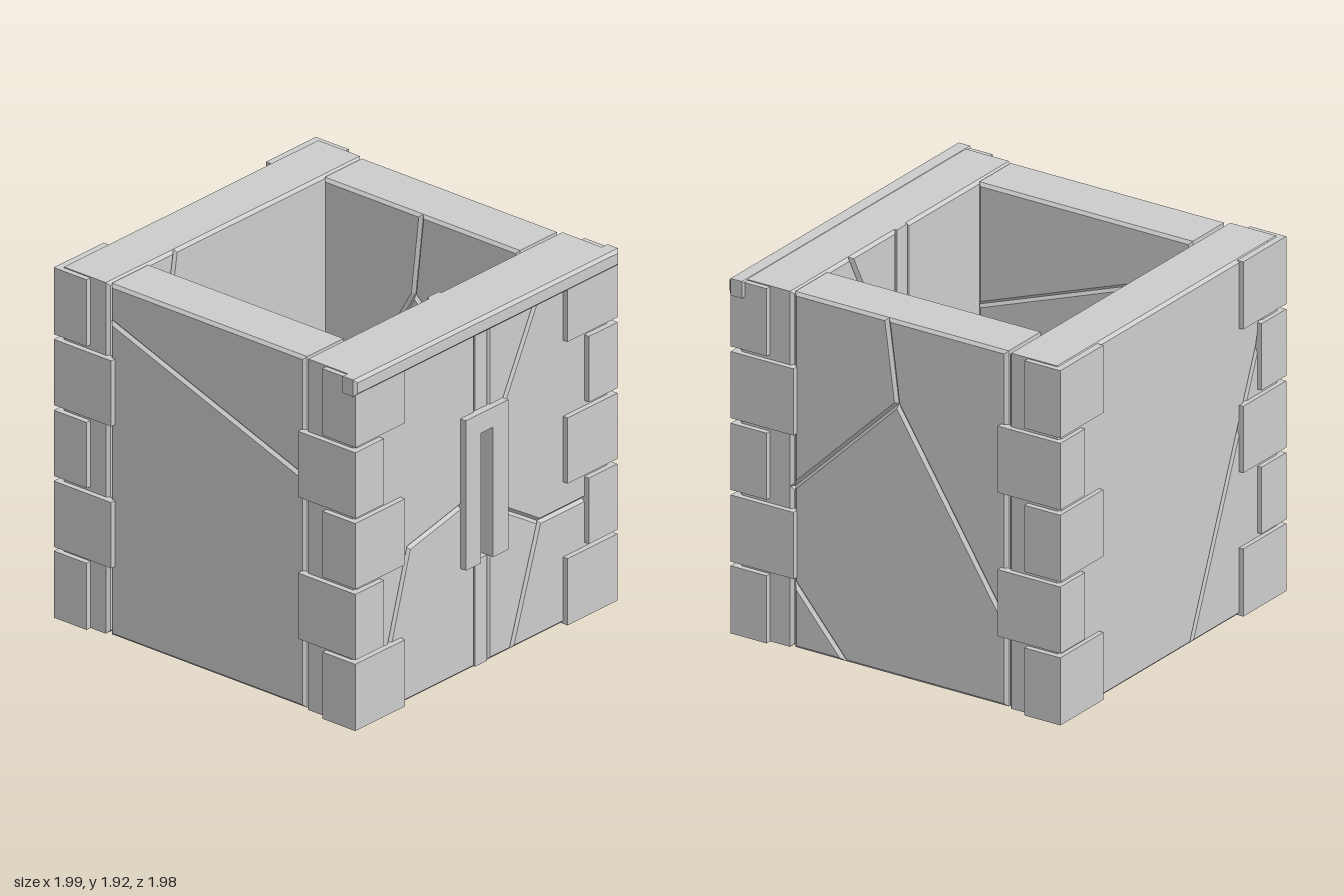
import * as THREE from 'three';

const TOP = 1.92, BEVEL = 0.016;

const stone = new THREE.MeshStandardMaterial({ color: 0xcccccc });
stone.name = 'grey stone';

// Shrink a counter-clockwise outline by d
function inset(points, d) {
  return points.map((p, i) => {
    const a = points[(i + points.length - 1) % points.length];
    const b = points[(i + 1) % points.length];
    const e1 = p.clone().sub(a).normalize(), e2 = b.clone().sub(p).normalize();
    const n1 = new THREE.Vector2(-e1.y, e1.x), n2 = new THREE.Vector2(-e2.y, e2.x);
    return p.clone().add(n1.clone().add(n2).multiplyScalar(d / (1 + n1.dot(n2))));
  });
}

// Bevelled block between an outer outline (z = 0) and an inner one (z = -depth)
function blockGeometry(outer, inner, depth) {
  let o = outer.map(p => new THREE.Vector2(...p));
  let n = inner.map(p => new THREE.Vector2(...p));
  if (THREE.ShapeUtils.area(o) < 0) { o.reverse(); n.reverse(); }
  const rings = [
    [inset(o, BEVEL), 0], [o, -BEVEL], [n, BEVEL - depth], [inset(n, BEVEL), -depth],
  ].map(([pts, z]) => pts.map(p => [p.x, p.y, z]));
  const pos = [];
  const tri = (a, b, c) => pos.push(...a, ...b, ...c);
  for (let r = 0; r < 3; r++) {
    for (let i = 0; i < o.length; i++) {
      const j = (i + 1) % o.length, A = rings[r], B = rings[r + 1];
      tri(A[i], B[i], B[j]);
      tri(A[i], B[j], A[j]);
    }
  }
  const cap = (ring, flip) => {
    const flat = ring.map(p => new THREE.Vector2(p[0], p[1]));
    for (const [a, b, c] of THREE.ShapeUtils.triangulateShape(flat, [])) {
      if (flip) tri(ring[c], ring[b], ring[a]);
      else tri(ring[a], ring[b], ring[c]);
    }
  };
  cap(rings[0], false);
  cap(rings[3], true);
  const g = new THREE.BufferGeometry();
  g.setAttribute('position', new THREE.Float32BufferAttribute(pos, 3));
  g.computeVertexNormals();
  return g;
}

// A wall of cracked blocks; nodes are [outer point, inner point] pairs
function wall(name, nodes, pieces, depth, sign, angle, x, z) {
  const group = new THREE.Group();
  group.name = name;
  pieces.forEach((keys, i) => {
    const side = s => [...keys].map(k => {
      const p = nodes[k].length === 4 ? nodes[k].slice(s * 2, s * 2 + 2) : nodes[k];
      return [p[0] * sign, p[1]];
    });
    const mesh = new THREE.Mesh(blockGeometry(side(0), side(1), depth), stone);
    mesh.name = `${name}Block${i + 1}`;
    group.add(mesh);
  });
  group.rotation.y = angle;
  group.position.set(x, 0, z);
  return group;
}

function box(name, x0, x1, y0, y1, z0, z1) {
  const m = new THREE.Mesh(new THREE.BoxGeometry(x1 - x0, y1 - y0, z1 - z0), stone);
  m.position.set((x0 + x1) / 2, (y0 + y1) / 2, (z0 + z1) / 2);
  m.name = name;
  return m;
}

export function createModel() {
  const model = new THREE.Group();
  model.name = 'stoneTower';

  // Front wall, two halves either side of the slit
  model.add(wall('frontWall', {
    a: [-0.955, 0], b: [-0.79, 0], c: [-0.69, 0.37], d: [-0.55, 0.835],
    e: [-0.045, 0.945], f: [-0.045, TOP], g: [-0.955, TOP], h: [-0.045, 0],
    i: [0.045, 0], j: [0.22, 0], k: [0.43, 0.625, 0.43, 0.68], l: [0.045, 0.86],
    m: [0.955, 0], n: [0.955, 0.625, 0.955, 0.87], o: [0.955, TOP], p: [0.45, TOP],
    q: [0.045, 1.15], r: [0.045, TOP],
  }, ['abcdefg', 'bhedc', 'ijkl', 'jmnk', 'lknopq', 'qpr'], 0.32, 1, 0, 0, 0.955));

  // Right-hand wall, u = z
  model.add(wall('crackedSideWall', {
    a: [0.07, TOP, 0, TOP], b: [0.01, 1.47, -0.05, 1.47], c: [0.63, 0.87], d: [0.63, TOP],
    e: [-0.645, TOP], f: [-0.645, 0.44], g: [-0.645, 0], h: [0.32, 0], i: [0.63, 0.36],
    j: [0.63, 0],
  }, ['abcd', 'abfe', 'bfghic', 'hji'], 0.31, -1, Math.PI / 2, 0.955, 0));

  // Left-hand wall, u = z
  model.add(wall('plainSideWall', {
    a: [-0.645, 0], b: [0.63, 0], c: [0.63, 1.26], d: [0.63, TOP],
    e: [-0.645, TOP], f: [-0.645, 1.72],
  }, ['abcf', 'fcde'], 0.305, 1, -Math.PI / 2, -0.955, 0));

  // Back wall, u = x
  model.add(wall('backWall', {
    a: [-0.955, 0], b: [-0.19, 0, -0.1, 0], c: [-0.77, 1.4, -0.53, 1.45],
    d: [-0.88, TOP, -0.45, TOP], e: [-0.955, TOP], f: [0.955, TOP],
    g: [0.955, 0.05, 0.955, 0.45], h: [0.75, 0, 0.66, 0], i: [0.955, 0],
  }, ['abcde', 'bhgfdc', 'hig'], 0.305, -1, Math.PI, 0, -0.96));

  // Arrow slit: bars above and below the opening, and an arched surround
  model.add(box('lowerSlitBar', -0.045, 0.045, 0, 0.58, 0.635, 0.95));
  model.add(box('upperSlitBar', -0.045, 0.045, 1.29, TOP, 0.635, 0.95));
  const surround = new THREE.Shape([
    [-0.16, 0.58], [-0.045, 0.58], [-0.045, 1.29], [0.045, 1.29],
    [0.045, 0.58], [0.16, 0.58], [0.16, 1.4], [-0.16, 1.4],
  ].map(p => new THREE.Vector2(...p)));
  const frame = new THREE.Mesh(
    new THREE.ExtrudeGeometry(surround, { depth: 0.09, bevelEnabled: false }), stone);
  frame.position.z = 0.9;
  frame.name = 'slitSurround';
  model.add(frame);

  // Ledge along the top of the front
  const ledgeOutline = [[-0.995, 1.83], [0.995, 1.83], [0.995, 1.922], [-0.995, 1.922]];
  const ledge = new THREE.Mesh(blockGeometry(ledgeOutline, ledgeOutline, 0.1), stone);
  ledge.position.z = 0.995;
  ledge.name = 'frontLedge';
  model.add(ledge);

  // L-shaped corner stones, alternating long and short sides
  const corners = new THREE.Group();
  corners.name = 'cornerStones';
  const R = 0.985, I = 0.94;
  for (const sx of [-1, 1]) for (const sz of [-1, 1]) for (let row = 0; row < 5; row++) {
    const x = row % 2 ? 0.77 : 0.61, z = row % 2 ? 0.61 : 0.77;
    const shape = new THREE.Shape([[x, I], [I, I], [I, z], [R, z], [R, R], [x, R]]
      .map(p => new THREE.Vector2(p[0] * sx, -p[1] * sz)));
    const bottom = row * 0.3875, height = row === 0 || row === 4 ? 0.365 : 0.36;
    const m = new THREE.Mesh(
      new THREE.ExtrudeGeometry(shape, { depth: height, bevelEnabled: false }), stone);
    m.rotation.x = -Math.PI / 2;
    m.position.y = bottom;
    m.name = 'cornerStone';
    corners.add(m);
  }
  model.add(corners);
  return model;
}
